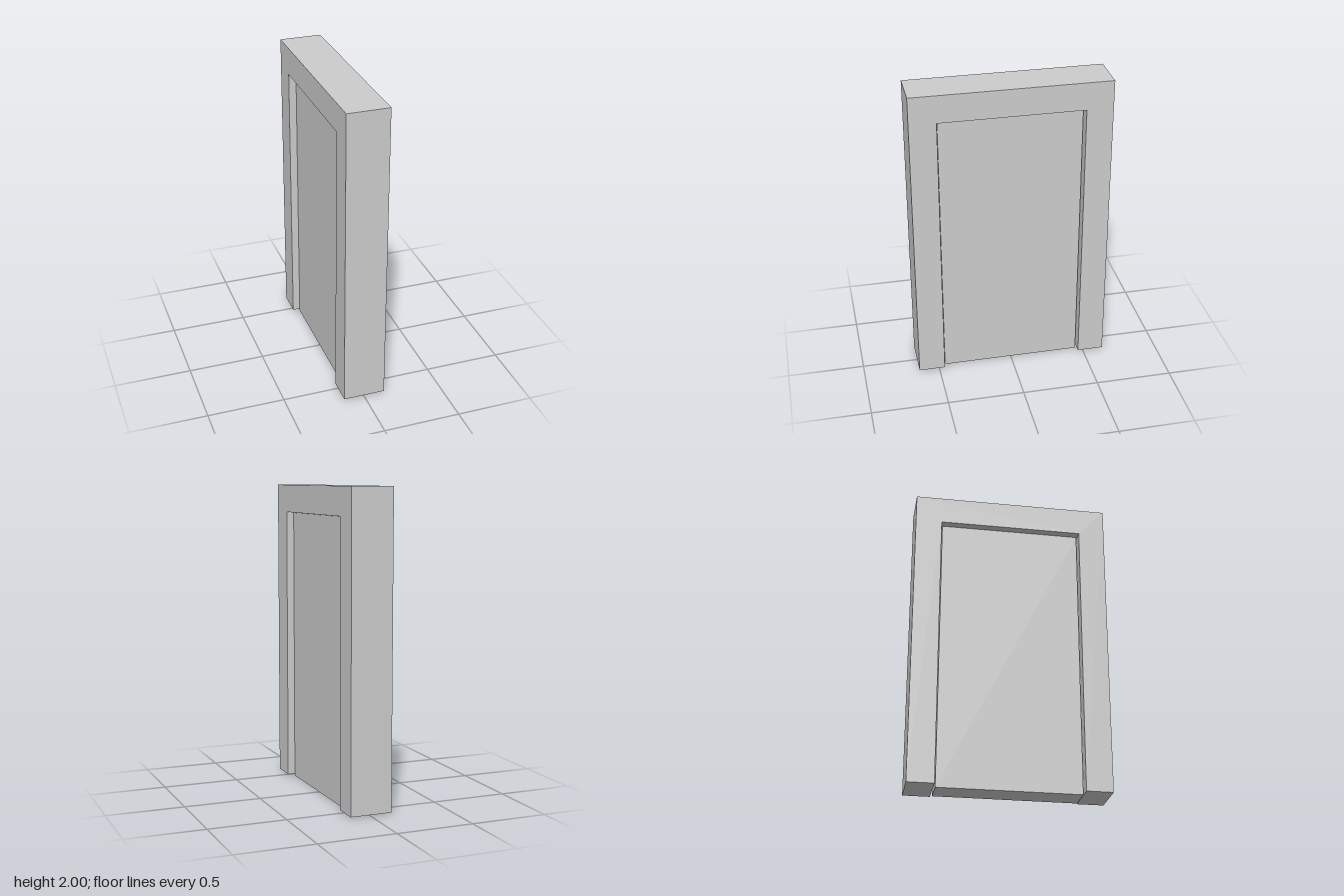
import * as THREE from 'three';

export function createModel() {
  const group = new THREE.Group();
  const material = new THREE.MeshStandardMaterial({ color: 0xcccccc });

  const depth = 0.272, halfWidth = 0.635, height = 2;
  const openHalf = 0.464, openTop = 1.82, floorGap = 0.01;

  // Door frame: an upside-down U, extruded through the wall thickness
  const outline = new THREE.Shape([
    [-halfWidth, floorGap], [-openHalf, floorGap], [-openHalf, openTop], [openHalf, openTop],
    [openHalf, floorGap], [halfWidth, floorGap], [halfWidth, height], [-halfWidth, height],
  ].map(([x, y]) => new THREE.Vector2(x, y)));
  const frameGeometry = new THREE.ExtrudeGeometry(outline, { depth, bevelEnabled: false });
  frameGeometry.translate(0, 0, -depth / 2).rotateY(Math.PI / 2);
  const frame = new THREE.Mesh(frameGeometry, material);
  frame.name = 'doorFrame';
  group.add(frame);

  // Door leaf: a flat slab with a thin gap all round, recessed on both faces
  const leafHeight = 1.815;
  const leaf = new THREE.Mesh(new THREE.BoxGeometry(0.18, leafHeight, 0.91), material);
  leaf.position.y = leafHeight / 2;
  leaf.name = 'doorLeaf';
  group.add(leaf);

  return group;
}
